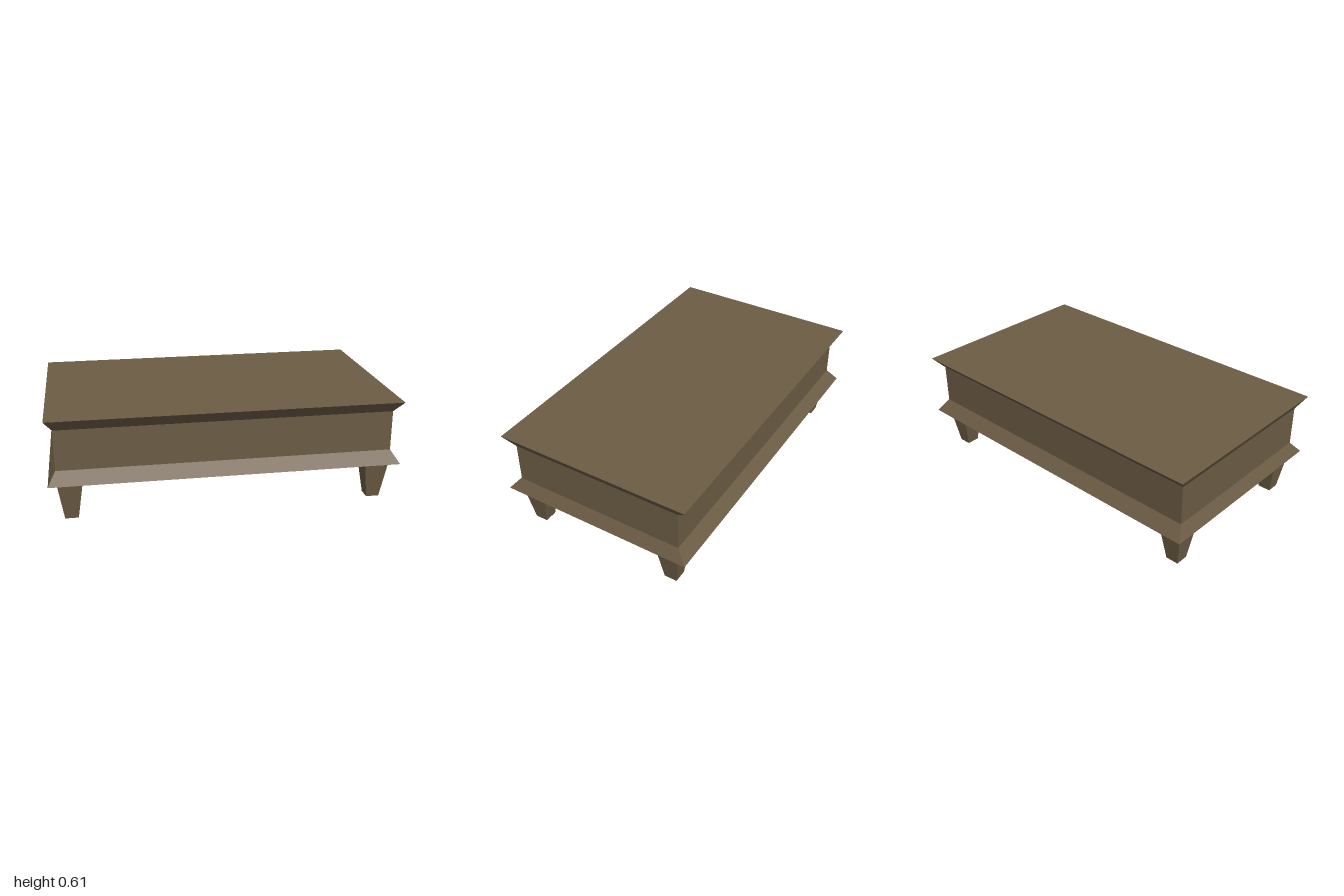
import * as THREE from 'three';

// Box whose bottom and top rectangles differ; sizes are [x, z] half extents
function taperedBox(bottom, top, y0, y1) {
  const geo = new THREE.BoxGeometry(2, 1, 2);
  const p = geo.attributes.position;
  for (let i = 0; i < p.count; i++) {
    const upper = p.getY(i) > 0;
    const [hx, hz] = upper ? top : bottom;
    p.setXYZ(i, p.getX(i) * hx, upper ? y1 : y0, p.getZ(i) * hz);
  }
  geo.computeVertexNormals();
  return geo;
}

export function createModel() {
  const wood = new THREE.MeshStandardMaterial({ color: 0x6b5c44, flatShading: true });
  wood.name = 'brown wood';

  const table = new THREE.Group();
  table.name = 'coffeeTable';
  const add = (name, geo, x = 0, z = 0) => {
    const mesh = new THREE.Mesh(geo, wood);
    mesh.name = name;
    mesh.position.set(x, 0, z);
    table.add(mesh);
  };

  const rim = [1, 0.585];
  const box = [0.957, 0.522];

  // Base moulding, straight body and flared top
  add('baseMoulding', taperedBox(rim, box, 0.238, 0.308));
  add('body', taperedBox(box, box, 0.308, 0.543));
  add('tableTop', taperedBox(box, rim, 0.543, 0.613));

  // Four tapered legs, flush with the body corners
  const leg = taperedBox([0.038, 0.038], [0.073, 0.073], 0, 0.238);
  for (const [side, sx] of [['Left', 1], ['Right', -1]]) {
    for (const [end, sz] of [['front', 1], ['back', -1]]) {
      add(`${end}${side}Leg`, leg, sx * 0.884, sz * 0.449);
    }
  }
  return table;
}
